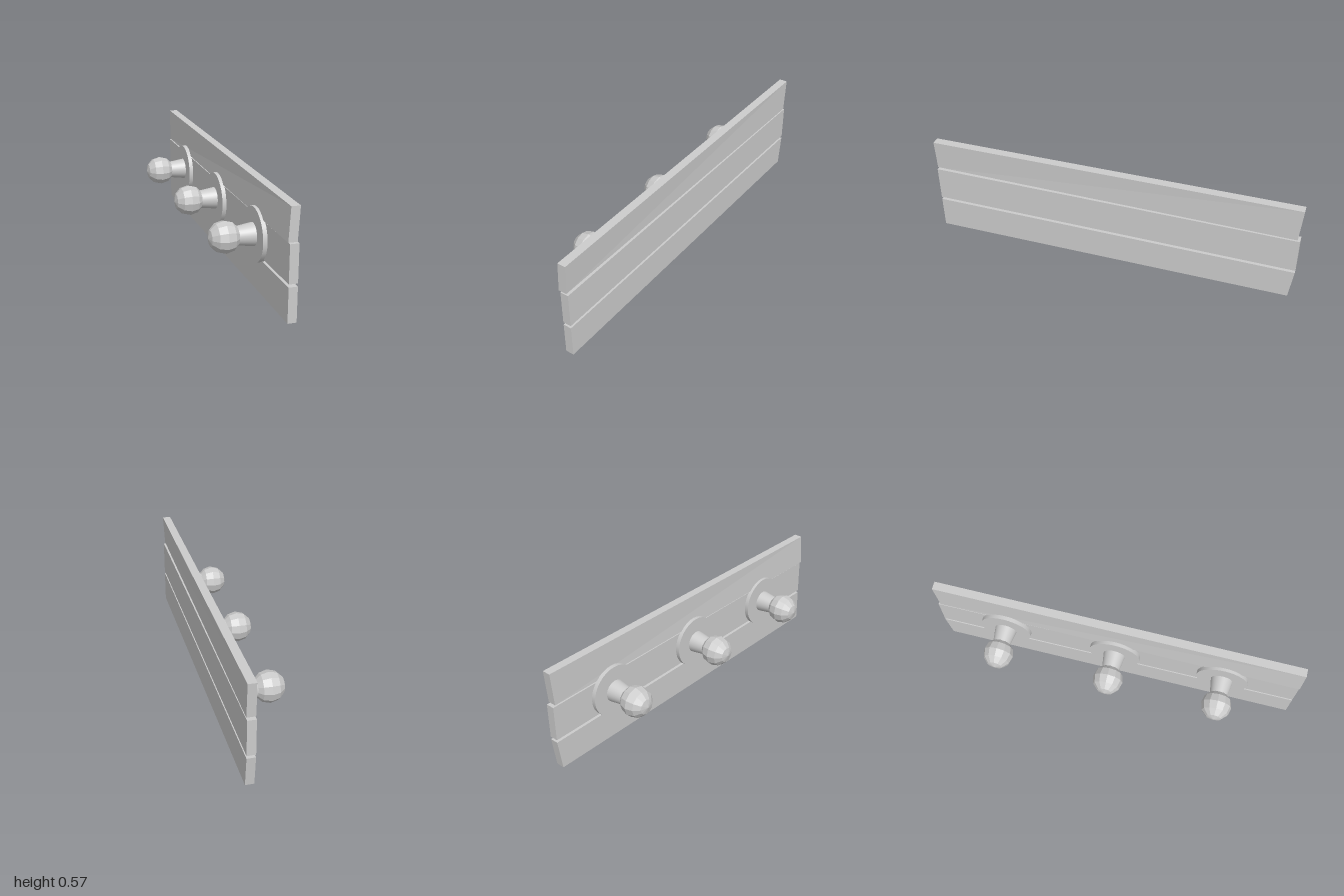
import * as THREE from 'three';

const material = new THREE.MeshStandardMaterial({ color: 0xcccccc, flatShading: true });
const smooth = new THREE.MeshStandardMaterial({ color: 0xcccccc });

const X0 = 0.102, X1 = 0.147; // back and front faces of the boards

// Board along z. Each end gives bottom/top heights, bottom/top z, and a sideways shift of the bottom edge.
function makeBoard(name, front, back) {
  const geo = new THREE.BoxGeometry(1, 1, 1);
  const p = geo.attributes.position;
  for (let i = 0; i < p.count; i++) {
    const end = p.getZ(i) > 0 ? front : back;
    const k = p.getY(i) > 0 ? 1 : 0;
    const shift = k ? 0 : end.shift || 0;
    p.setXYZ(i, (p.getX(i) > 0 ? X1 : X0) + shift, end.y[k], end.z[k]);
  }
  geo.computeVertexNormals();
  const mesh = new THREE.Mesh(geo, material);
  mesh.name = name;
  return mesh;
}

// Peg along -x: mounting disc, tapered stem and faceted ball
function makePeg(z) {
  const peg = new THREE.Group();
  peg.name = 'peg';
  const add = (name, geo, x, mat) => {
    const mesh = new THREE.Mesh(geo.rotateZ(Math.PI / 2), mat);
    mesh.name = name;
    mesh.position.x = x;
    peg.add(mesh);
  };
  add('mountingDisc', new THREE.CylinderGeometry(0.14, 0.14, 0.03, 32), 0.095, smooth);
  add('stem', new THREE.CylinderGeometry(0.047, 0.06, 0.09, 32, 1, true), 0.04, smooth);
  add('ball', new THREE.SphereGeometry(0.082, 12, 6), -0.066, material);
  peg.position.set(0, 0.294, z);
  return peg;
}

export function createModel() {
  const group = new THREE.Group();
  group.name = 'pegRack';

  // Three slightly uneven boards
  group.add(
    makeBoard('bottomBoard', { y: [0, 0.178], z: [1, 1] }, { y: [0.012, 0.178], z: [-0.98, -1] }),
    makeBoard('middleBoard', { y: [0.193, 0.385], z: [1, 1] }, { y: [0.193, 0.385], z: [-1, -1] }),
    makeBoard('topBoard', { y: [0.393, 0.561], z: [1, 1], shift: -0.009 }, { y: [0.393, 0.575], z: [-0.987, -1] }),
  );

  // Row of pegs
  for (const z of [-0.62, -0.003, 0.596]) group.add(makePeg(z));
  return group;
}
